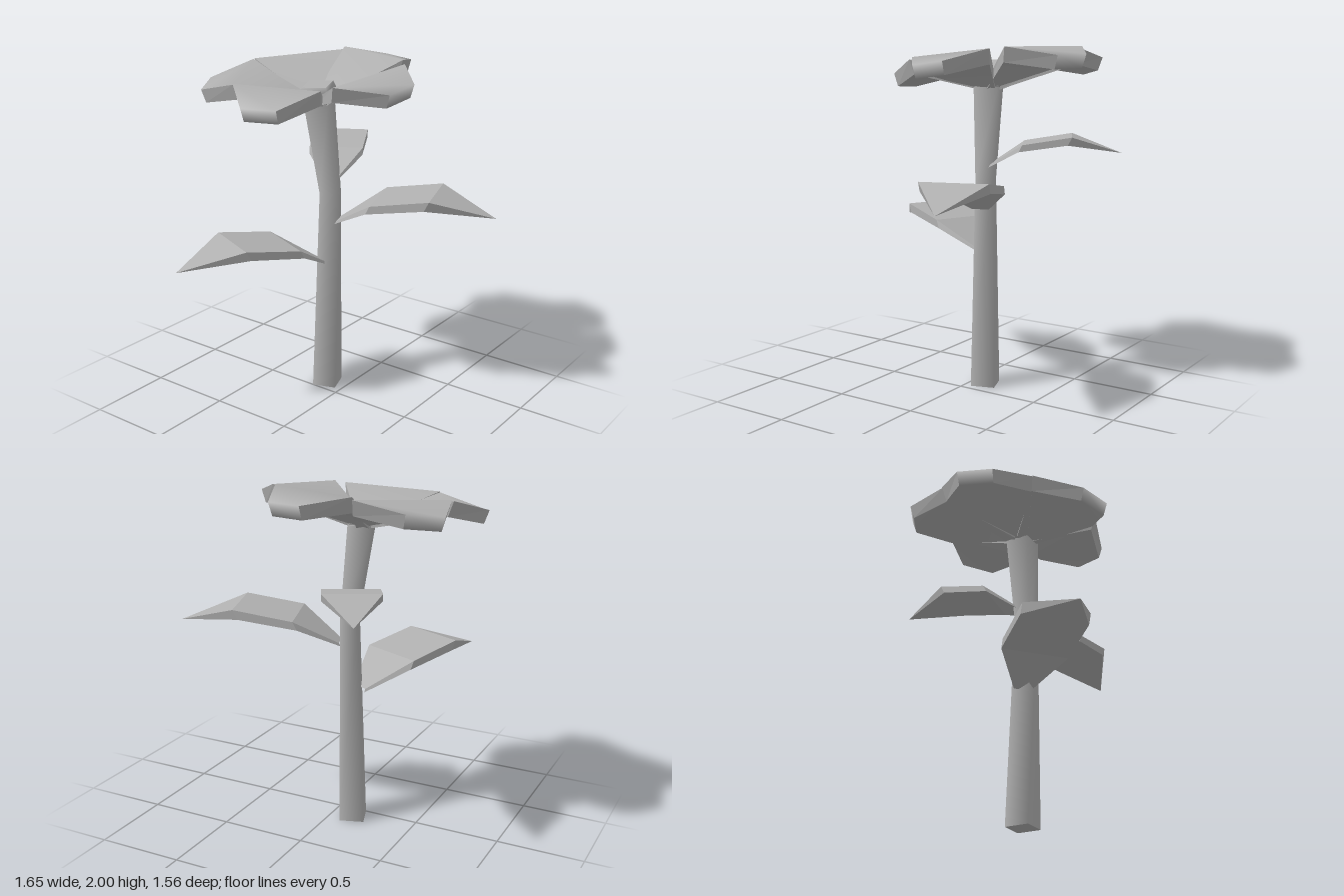
import * as THREE from 'three';

const V = (x, y, z) => new THREE.Vector3(x, y, z);
const grey = new THREE.MeshStandardMaterial({ color: 0xb0b0b0 });
grey.name = 'plain grey';

// Indexed geometry from points and quads; flat splits every face
function build(points, quads, flat) {
  let g = new THREE.BufferGeometry().setFromPoints(points);
  g.setIndex(quads.flatMap(([a, b, c, d]) => [a, b, c, a, c, d]));
  if (flat) g = g.toNonIndexed();
  g.computeVertexNormals();
  return g;
}

function addMesh(group, name, geometry) {
  const m = new THREE.Mesh(geometry, grey);
  m.name = name;
  group.add(m);
}

// Thick bent plate: each row is { top: [left, right], bottom: [left, right] }
function addSlab(parent, name, rows, flat) {
  const part = new THREE.Group();
  part.name = name;
  const wrap = [...rows.map(r => r.top), ...rows.map(r => r.bottom).reverse()];
  const faces = [];
  for (let i = 0; i < wrap.length - 1; i++) faces.push([2 * i + 1, 2 * i + 3, 2 * i + 2, 2 * i]);
  addMesh(part, name + 'Blade', build(wrap.flat(), faces, flat));
  for (const s of [0, 1]) {
    const pts = rows.flatMap(r => [r.top[s], r.bottom[s]]);
    const side = rows.slice(1).map((_, i) => {
      const q = [2 * i, 2 * i + 2, 2 * i + 3, 2 * i + 1];
      return s ? q.reverse() : q;
    });
    addMesh(part, name + (s ? 'RightEdge' : 'LeftEdge'), build(pts, side, true));
  }
  parent.add(part);
}

// Four-sided smooth tube through rings [x, y, z, radius], turned and tilted
function addSquareTube(parent, name, rings, slope = 0) {
  const pts = rings.flatMap(([x, y, z, r]) => [0, 1, 2, 3].map(k => {
    const a = 1.117 + k * Math.PI / 2;
    const dz = Math.cos(a) * r;
    return V(x + Math.sin(a) * r, y - slope * dz, z + dz);
  }));
  const quads = [];
  for (let i = 0; i < rings.length - 1; i++) {
    for (let k = 0; k < 4; k++) {
      const n = (k + 1) % 4, b = 4 * i;
      quads.push([b + k, b + n, b + 4 + n, b + 4 + k]);
    }
  }
  addMesh(parent, name, build(pts, quads));
  const t = pts.length - 4;
  addMesh(parent, name + 'Ends', build(pts, [[3, 2, 1, 0], [t, t + 1, t + 2, t + 3]], true));
}

// Leaf: narrow base, two wide rows, pointed tip
function addLeaf(parent, name, baseX, baseZ, tipX, tipZ, topY, scale) {
  const dir = V(tipX - baseX, 0, tipZ - baseZ).normalize();
  const left = V(0, 1, 0).cross(dir);
  const spec = [ // distance, height, half width, thickness
    [0, -0.21, 0.05, 0.02], [0.238, -0.055, 0.195, 0.048],
    [0.575, 0, 0.192, 0.055], [0.92, -0.12, 0, 0]];
  const rows = spec.map(([d, h, w, t]) => {
    const pair = (dist, dy) => [1, -1].map(s => V(baseX, topY + dy * scale, baseZ)
      .addScaledVector(dir, dist * scale).addScaledVector(left, s * w * scale));
    return { top: pair(d, h), bottom: pair(d - t * 0.5, h - t) };
  });
  addSlab(parent, name, rows, true);
}

// Petal: narrow base at the flower centre, wide middle, drooping outer end
function addPetal(parent, name, wide, tip) {
  const c = V(-0.185, 1.8, -0.08);
  const top = [wide, tip].map(row => row.map(p => V(...p)));
  const dir = top[0][0].clone().add(top[0][1]).multiplyScalar(0.5).sub(c).setY(0).normalize();
  const left = V(0, 1, 0).cross(dir);
  const base = [1, -1].map(s => c.clone().addScaledVector(dir, 0.04).addScaledVector(left, s * 0.07));
  const under = (row, inset, drop) => row.map(p =>
    V(p.x + (c.x - p.x) * inset, p.y - drop, p.z + (c.z - p.z) * inset));
  addSlab(parent, name, [
    { top: base, bottom: under(base, 0.1, 0.045) },
    { top: top[0], bottom: under(top[0], 0.06, 0.085) },
    { top: top[1], bottom: under(top[1], 0.04, 0.075) }], false);
}

export function createModel() {
  const model = new THREE.Group();
  model.name = 'flower';

  // Stem, narrowing and then leaning at the top
  addSquareTube(model, 'stem', [
    [-0.13, 0, -0.09, 0.1], [-0.112, 1.24, -0.1, 0.07], [-0.172, 1.77, -0.078, 0.1]]);

  // Leaves
  addLeaf(model, 'leftLeaf', -0.05, -0.1, 0.82, -0.4, 1.3, 1);
  addLeaf(model, 'frontLeaf', -0.16, -0.07, -0.53, 0.77, 1.03, 1);
  addLeaf(model, 'backLeaf', -0.12, -0.12, -0.47, -0.78, 1.5, 0.82);

  // Blossom: five petals, each as left and right wide points, then tip points
  const petals = [
    ['frontPetal', [[0.11, 1.925, 0.28], [-0.46, 1.905, 0.33]], [[-0.02, 1.84, 0.49], [-0.24, 1.83, 0.52]]],
    ['leftPetal', [[0.23, 1.99, -0.34], [0.15, 1.94, 0.23]], [[0.41, 1.925, -0.16], [0.39, 1.9, 0.05]]],
    ['backPetal', [[-0.36, 2, -0.58], [0.18, 2, -0.4]], [[-0.14, 1.96, -0.72], [0.07, 1.955, -0.66]]],
    ['backRightPetal', [[-0.72, 1.95, -0.16], [-0.36, 1.985, -0.58]], [[-0.78, 1.905, -0.4], [-0.64, 1.935, -0.57]]],
    ['rightPetal', [[-0.46, 1.9, 0.33], [-0.73, 1.945, -0.16]], [[-0.73, 1.835, 0.3], [-0.83, 1.865, 0.11]]]];
  for (const p of petals) addPetal(model, ...p);

  // Flower centre
  addSquareTube(model, 'flowerCentre', [
    [-0.175, 1.76, -0.08, 0.09], [-0.185, 1.83, -0.08, 0.12], [-0.185, 1.87, -0.08, 0.1]], 0.12);
  return model;
}
